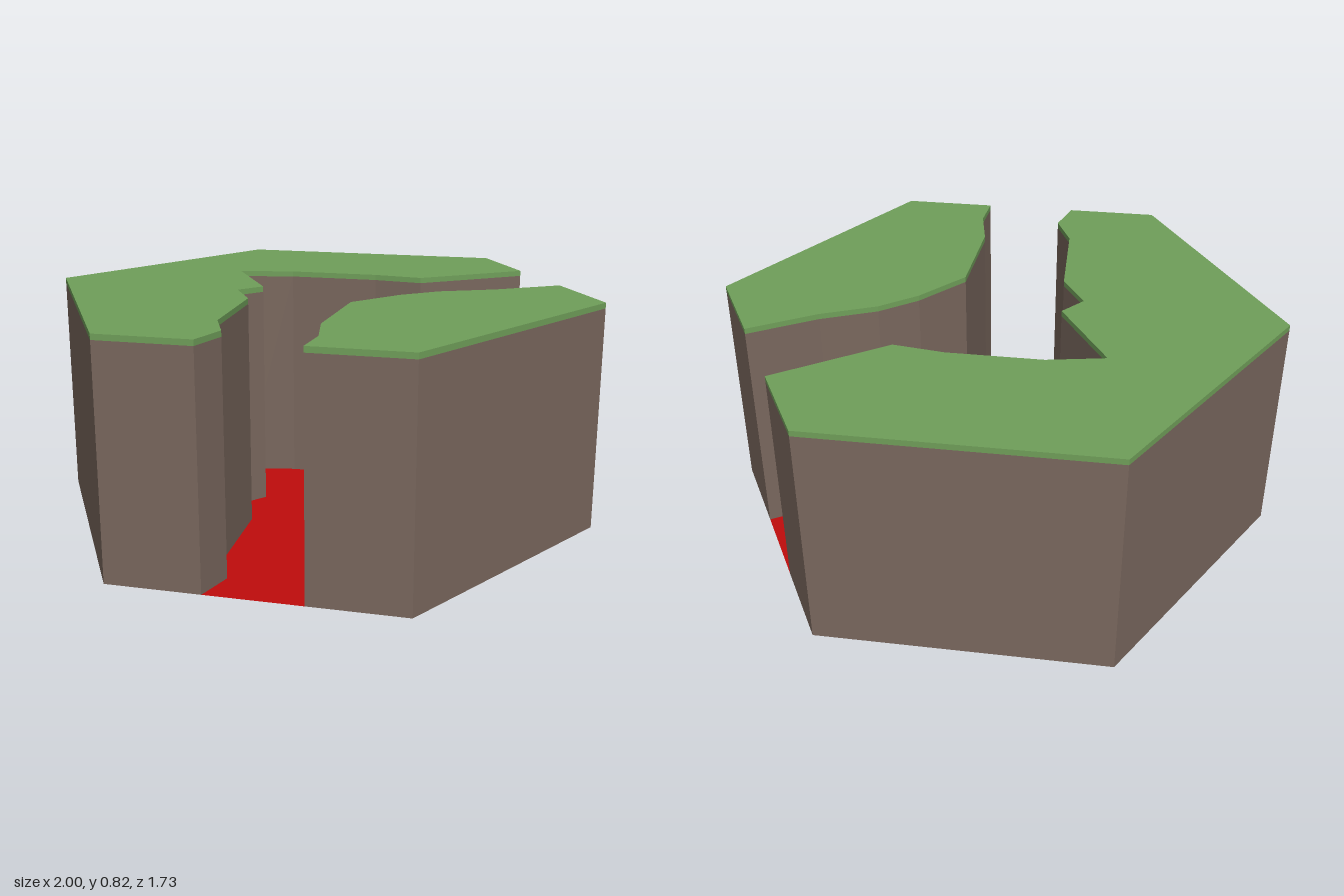
import * as THREE from 'three';

const ROCK_TOP = 0.8, TOP = 0.82;

// Channel banks as [x, z], both running between the front exit and the side exit
const leftBank = [
  [-0.17, 0.866], [-0.13, 0.73], [-0.19, 0.59], [-0.205, 0.22], [-0.29, 0.075], [-0.22, -0.01],
  [-0.31, -0.16], [-0.4, -0.31], [-0.2, -0.35], [0.13, -0.35], [0.31, -0.325], [0.665, -0.58],
];
const rightBank = [
  [0.83, -0.294], [0.61, -0.155], [0.42, -0.07], [0.295, 0.03],
  [0.155, 0.2], [0.14, 0.56], [0.175, 0.73], [0.165, 0.866],
];

// Plateau outlines: a bank closed by the hexagon corners behind it
const plateaus = {
  large: [...leftBank, [0.5, -0.866], [-0.5, -0.866], [-1, 0], [-0.5, 0.866]],
  small: [...rightBank, [0.5, 0.866], [1, 0]],
};

const material = (color) =>
  new THREE.MeshStandardMaterial({ color, side: THREE.DoubleSide, flatShading: true });

const toShape = (outline) => new THREE.Shape(outline.map(([x, z]) => new THREE.Vector2(x, -z)));

// Open vertical walls following a closed outline
function wallGeometry(outline, height) {
  const positions = [];
  outline.forEach(([ax, az], i) => {
    const [bx, bz] = outline[(i + 1) % outline.length];
    positions.push(ax, 0, az, bx, 0, bz, bx, height, bz);
    positions.push(ax, 0, az, bx, height, bz, ax, height, az);
  });
  const geometry = new THREE.BufferGeometry();
  geometry.setAttribute('position', new THREE.Float32BufferAttribute(positions, 3));
  geometry.computeVertexNormals();
  return geometry;
}

export function createModel() {
  const model = new THREE.Group();
  model.name = 'hexagonalCanyonTile';
  const rock = material(0x7a685e);
  const grass = material(0x70a05a);
  const red = material(0xc00c0c);

  const add = (parent, name, geometry, mat) => {
    const mesh = new THREE.Mesh(geometry, mat);
    mesh.name = name;
    parent.add(mesh);
  };

  // Hollow cliffs, each capped by a thin grass slab
  for (const [size, outline] of Object.entries(plateaus)) {
    const plateau = new THREE.Group();
    plateau.name = `${size}Plateau`;
    add(plateau, 'cliffWalls', wallGeometry(outline, ROCK_TOP), rock);
    const slab = new THREE.ExtrudeGeometry(toShape(outline), { depth: TOP - ROCK_TOP, bevelEnabled: false });
    slab.rotateX(-Math.PI / 2).translate(0, ROCK_TOP, 0);
    add(plateau, 'grassTop', slab, grass);
    model.add(plateau);
  }

  // Channel floor between the two banks
  const floor = new THREE.ShapeGeometry(toShape([...leftBank, ...rightBank].reverse()));
  floor.rotateX(-Math.PI / 2);
  add(model, 'channelFloor', floor, red);

  return model;
}
